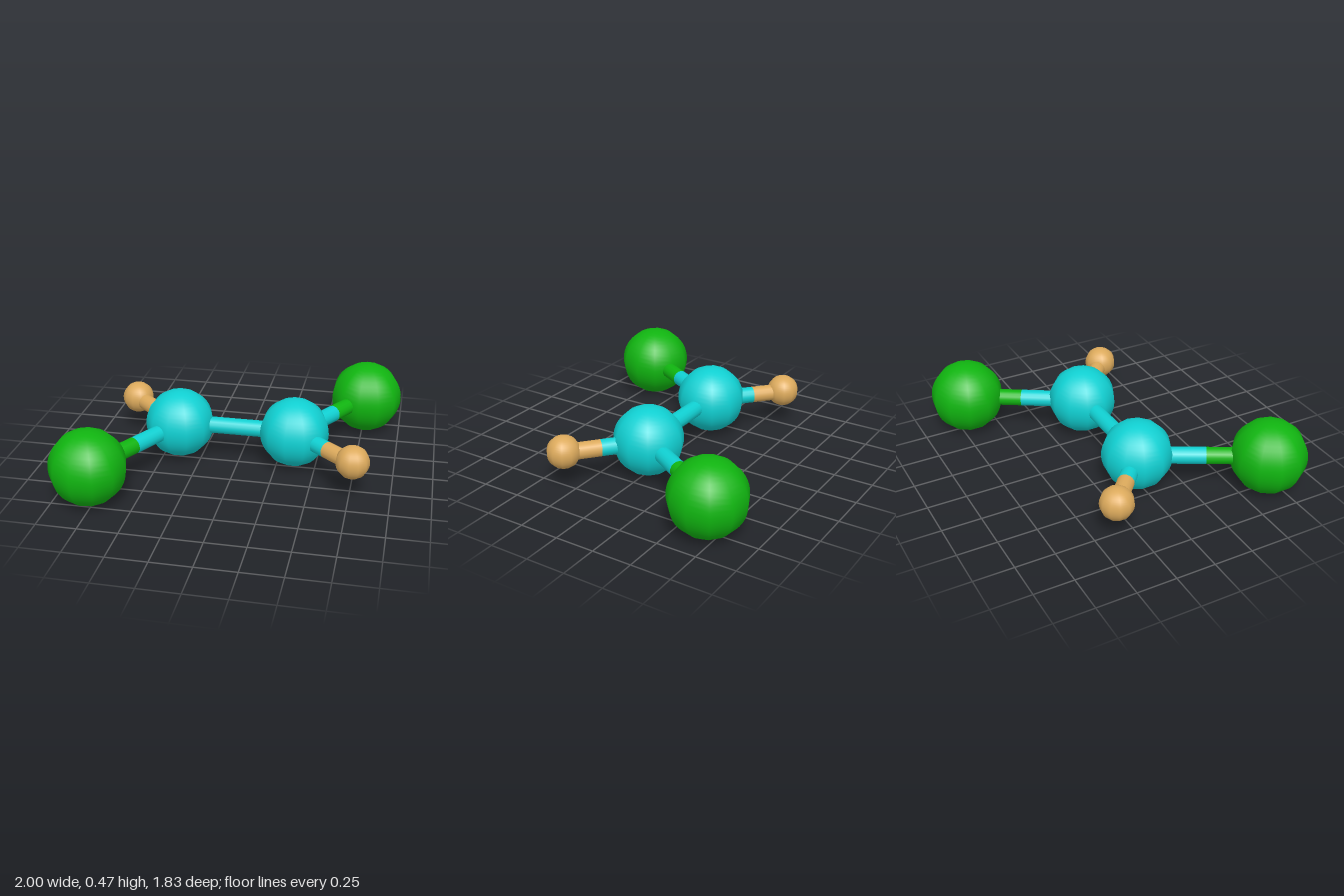
import * as THREE from 'three';

const material = (name, color) => {
  const m = new THREE.MeshStandardMaterial({ color });
  m.name = name;
  return m;
};

export function createModel() {
  const model = new THREE.Group();
  model.name = 'ballAndStickMolecule';

  const cyan = material('cyan', 0x10d0d2);
  const green = material('green', 0x10b410);
  const tan = material('tan', 0xdcaa5c);

  // Eleven-sided balls, finely divided from pole to pole, with a corner facing +x
  function ball(name, radius, position, mat) {
    const mesh = new THREE.Mesh(new THREE.SphereGeometry(radius, 11, 24), mat);
    mesh.rotation.y = Math.PI;
    mesh.position.copy(position);
    mesh.name = name;
    model.add(mesh);
  }

  // Straight rod between two points
  function rod(name, a, b, mat) {
    const dir = b.clone().sub(a);
    const mesh = new THREE.Mesh(new THREE.CylinderGeometry(0.053, 0.053, dir.length(), 16), mat);
    mesh.position.copy(a).lerp(b, 0.5);
    mesh.quaternion.setFromUnitVectors(new THREE.Vector3(0, 1, 0), dir.normalize());
    mesh.name = name;
    model.add(mesh);
  }

  // Each side: a central ball with a large and a small ball bonded to it
  const sides = [
    { side: 'left', hub: [0.361, -0.022], large: [0.765, -0.685], small: [0.763, 0.32] },
    { side: 'right', hub: [-0.387, -0.022], large: [-0.775, 0.682], small: [-0.77, -0.366] },
  ];
  const at = ([x, z], y) => new THREE.Vector3(x, y, z);

  for (const { side, hub, large, small } of sides) {
    ball(`${side}CentralBall`, 0.22, at(hub, 0.24), cyan);
    ball(`${side}LargeBall`, 0.236, at(large, 0.236), green);
    ball(`${side}SmallBall`, 0.104, at(small, 0.238), tan);

    // Two-coloured bonds, split near the middle
    for (const [label, end, split, mat] of [['Large', large, 0.525, green], ['Small', small, 0.57, tan]]) {
      const a = at(hub, 0.23), b = at(end, 0.23);
      const mid = a.clone().lerp(b, split);
      rod(`${side}${label}BondInner`, a, mid, cyan);
      rod(`${side}${label}BondOuter`, mid, b, mat);
    }
  }

  // Bond joining the two central balls
  rod('centralBond', at(sides[1].hub, 0.24), at(sides[0].hub, 0.24), cyan);

  return model;
}
